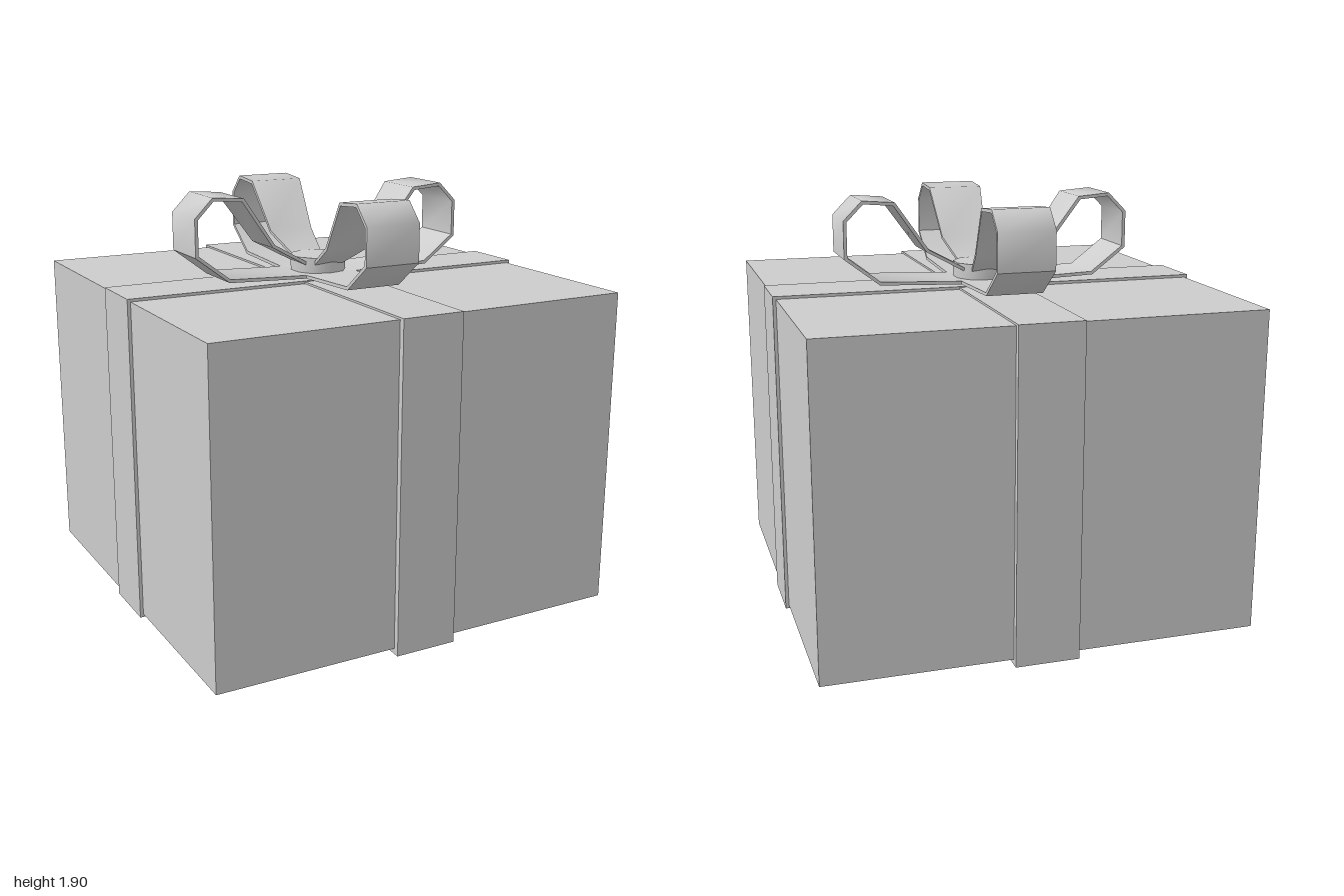
import * as THREE from 'three';
import { toCreasedNormals } from 'three/addons/utils/BufferGeometryUtils.js';

const THICK = 0.015;

// Loop centreline, outer side: x, y, half width of the ribbon
const LOOP = [
  [0.05, 1.545, 0.06], [0.13, 1.588, 0.08], [0.278, 1.668, 0.11],
  [0.438, 1.89, 0.13], [0.588, 1.902, 0.13], [0.674, 1.815, 0.13],
  [0.674, 1.643, 0.13], [0.513, 1.52, 0.13], [0, 1.5, 0.13],
];

// Thick ribbon swept along the loop with a rectangular section
function loopGeometry() {
  const pts = LOOP.map(([x, y]) => new THREE.Vector2(x, y));
  const last = pts.length - 1;
  const normal = (i) => {
    const d = pts[i + 1].clone().sub(pts[i]).normalize();
    return new THREE.Vector2(-d.y, d.x);
  };
  const positions = [];
  const index = [];
  pts.forEach((p, i) => {
    const a = normal(Math.max(i - 1, 0));
    const b = normal(Math.min(i, last - 1));
    const miter = a.clone().add(b).normalize();
    const q = p.clone().addScaledVector(miter, -THICK / miter.dot(a));
    const w = LOOP[i][2];
    positions.push(p.x, p.y, w, p.x, p.y, -w, q.x, q.y, -w, q.x, q.y, w);
    if (i === last) return;
    for (let k = 0; k < 4; k++) {
      const k2 = (k + 1) % 4;
      const s = i * 4;
      const e = s + 4;
      index.push(s + k, e + k, s + k2, e + k, e + k2, s + k2);
    }
  });
  const geo = new THREE.BufferGeometry();
  geo.setAttribute('position', new THREE.Float32BufferAttribute(positions, 3));
  geo.setIndex(index);
  return toCreasedNormals(geo, 0.89);
}

export function createModel() {
  const group = new THREE.Group();
  const grey = new THREE.MeshStandardMaterial({ color: 0xcccccc });
  grey.name = 'light grey';

  const add = (name, geometry, y = 0) => {
    const mesh = new THREE.Mesh(geometry, grey);
    mesh.name = name;
    mesh.position.y = y;
    group.add(mesh);
    return mesh;
  };
  const addBox = (name, w, d, y0, y1) =>
    add(name, new THREE.BoxGeometry(w, y1 - y0, d), (y0 + y1) / 2);

  // Box and the two crossing ribbon bands
  addBox('giftBox', 1.97, 1.945, 0.025, 1.485);
  addBox('bandAcross', 2, 0.29, 0.01, 1.498);
  addBox('bandFrontToBack', 0.29, 2, 0, 1.494);

  // Four bow loops around the knot
  const loop = loopGeometry();
  ['Left', 'Back', 'Right', 'Front'].forEach((side, i) => {
    add('bowLoop' + side, loop).rotation.y = (i * Math.PI) / 2;
  });

  // Ten-sided knot
  add('knot', toCreasedNormals(new THREE.CylinderGeometry(0.13, 0.13, 0.095, 10), 0.7), 1.5425);

  return group;
}
